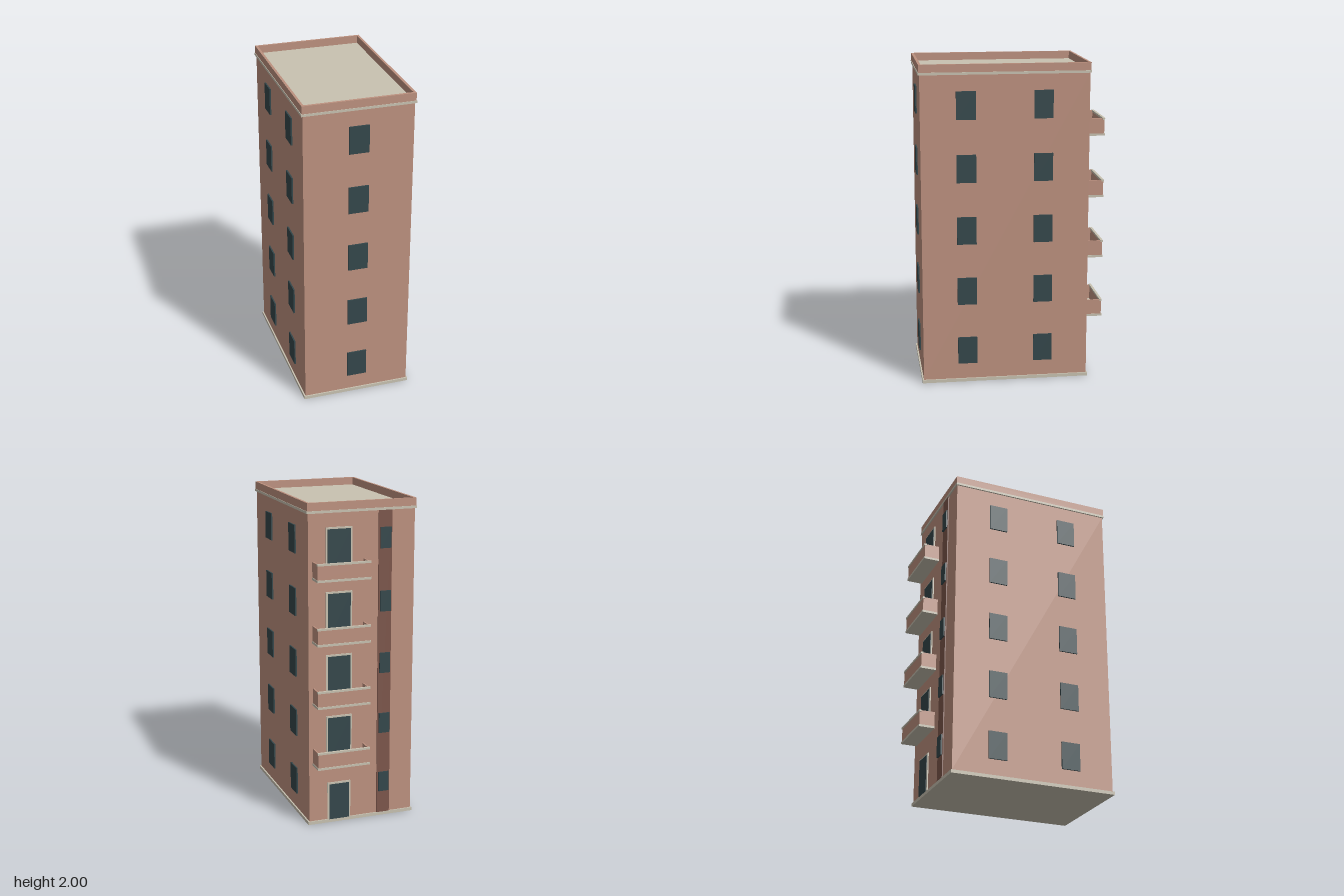
import * as THREE from 'three';

export function createModel() {
  const model = new THREE.Group();
  model.name = 'apartmentBlock';

  const material = (name, color) => {
    const m = new THREE.MeshStandardMaterial({ color });
    m.name = name;
    return m;
  };
  const brick = material('brick', 0xbd917f);
  const darkBrick = material('darkBrick', 0x7d564b);
  const stone = material('stone', 0xc8c2b1);
  const glass = material('glass', 0x34474b);

  // Box given by its lower and upper limits on each axis
  const box = (name, mat, [x0, x1], [y0, y1], [z0, z1], parent = model) => {
    const mesh = new THREE.Mesh(new THREE.BoxGeometry(x1 - x0, y1 - y0, z1 - z0), mat);
    mesh.position.set((x0 + x1) / 2, (y0 + y1) / 2, (z0 + z1) / 2);
    mesh.name = name;
    parent.add(mesh);
    return mesh;
  };

  const W = 0.338, FRONT = 0.562, BACK = -0.472;
  const FLOORS = 5, STOREY = 0.3865;

  // Main volume with plinth and roof slab
  box('walls', brick, [-W, W], [0.02, 1.937], [BACK, FRONT]);
  box('plinth', stone, [-0.347, 0.347], [0, 0.02], [-0.48, 0.571]);
  box('roofSlab', stone, [-0.347, 0.347], [1.937, 1.952], [-0.48, 0.571]);

  // Parapet: a rectangular ring around the roof
  const rectangle = (Type, x, z0, z1) => {
    const p = new Type();
    p.moveTo(-x, -z0).lineTo(-x, -z1).lineTo(x, -z1).lineTo(x, -z0).closePath();
    return p;
  };
  const ring = rectangle(THREE.Shape, 0.344, -0.477, 0.568);
  ring.holes.push(rectangle(THREE.Path, 0.329, -0.463, 0.552));
  const parapet = new THREE.Mesh(
    new THREE.ExtrudeGeometry(ring, { depth: 0.048, bevelEnabled: false }), brick);
  parapet.rotation.x = -Math.PI / 2;
  parapet.position.y = 1.952;
  parapet.name = 'parapet';
  model.add(parapet);

  // Dark stairwell strip up the back
  box('stairwellStrip', darkBrick, [-0.19, -0.105], [0.02, 1.937], [-0.479, BACK]);

  for (let i = 0; i < FLOORS; i++) {
    const y = i * STOREY;
    const floor = new THREE.Group();
    floor.name = `floor${i + 1}`;
    model.add(floor);

    // Front and side windows
    const rows = [y + 0.12, y + 0.292];
    box('frontWindow', glass, [-0.062, 0.062], rows, [FRONT, 0.571], floor);
    for (const z of [[0.225, 0.345], [-0.247, -0.13]]) {
      box('leftWindow', glass, [W, 0.347], rows, z, floor);
      box('rightWindow', glass, [-0.347, -W], rows, z, floor);
    }
    box('stairwellWindow', glass, [-0.183, -0.115], [y + 0.163, y + 0.29], [-0.488, -0.479], floor);

    // Framed back doors, the ground one shorter and narrower
    const half = i === 0 ? 0.064 : 0.072;
    const bottom = i === 0 ? 0.02 : y + 0.015;
    const top = i === 0 ? 0.25 : y + 0.295;
    const cx = 0.146;
    box('doorFrame', stone, [cx - half - 0.011, cx + half + 0.011], [bottom, top + 0.011], [-0.479, BACK], floor);
    box('door', glass, [cx - half, cx + half], [bottom, top], [-0.483, -0.479], floor);

    // Balcony: slab, three walls and a capping rail
    if (i > 0) {
      const balcony = new THREE.Group();
      balcony.name = 'balcony';
      floor.add(balcony);
      const wall = [y + 0.014, y + 0.107];
      box('balconySlab', stone, [-0.022, 0.315], [y, y + 0.014], [-0.573, BACK], balcony);
      box('balconyBackWall', brick, [-0.019, 0.312], [wall[0], wall[1] - 0.009], [-0.569, -0.56], balcony);
      box('balconyLeftWall', brick, [0.303, 0.312], wall, [-0.56, BACK], balcony);
      box('balconyRightWall', brick, [-0.019, -0.01], wall, [-0.56, BACK], balcony);
      box('balconyRail', stone, [-0.022, 0.315], [wall[1] - 0.009, wall[1] + 0.003], [-0.573, -0.558], balcony);
    }
  }

  return model;
}
